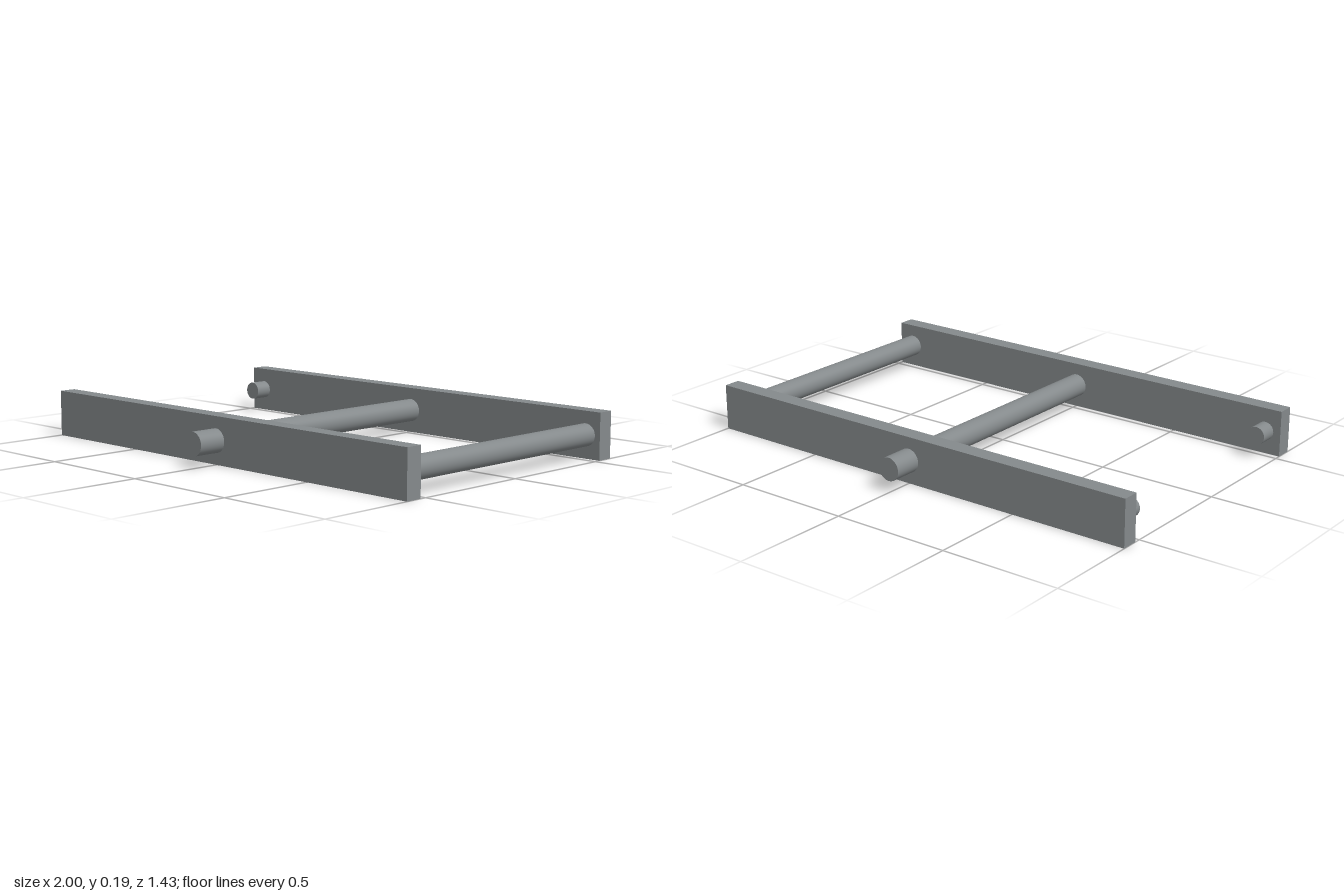
import * as THREE from 'three';

export function createModel() {
  const group = new THREE.Group();
  const steel = new THREE.MeshStandardMaterial({ color: 0x84898b });
  steel.name = 'grey steel';

  const height = 0.192, midY = height / 2;
  const railInner = 0.526, railOuter = 0.597;

  // Round bar running along z from z0 to z1
  function bar(name, x, radius, z0, z1) {
    const geometry = new THREE.CylinderGeometry(radius, radius, z1 - z0, 48);
    geometry.rotateX(Math.PI / 2);
    const mesh = new THREE.Mesh(geometry, steel);
    mesh.name = name;
    mesh.position.set(x, midY, (z0 + z1) / 2);
    group.add(mesh);
  }

  // Side rails, each with a short inward peg at the open end
  for (const [side, s] of [['front', 1], ['back', -1]]) {
    const rail = new THREE.Mesh(new THREE.BoxGeometry(2, height, railOuter - railInner), steel);
    rail.name = side + 'Rail';
    rail.position.set(0, midY, s * (railInner + railOuter) / 2);
    group.add(rail);

    const ends = [s * 0.451, s * railInner].sort((a, b) => a - b);
    bar(side + 'Peg', -0.93, 0.038, ends[0], ends[1]);
  }

  // Central axle passes through both rails; the end bar stops between them
  bar('axle', 0, 0.048, -0.715, 0.715);
  bar('endBar', 0.93, 0.046, -railInner, railInner);

  return group;
}
